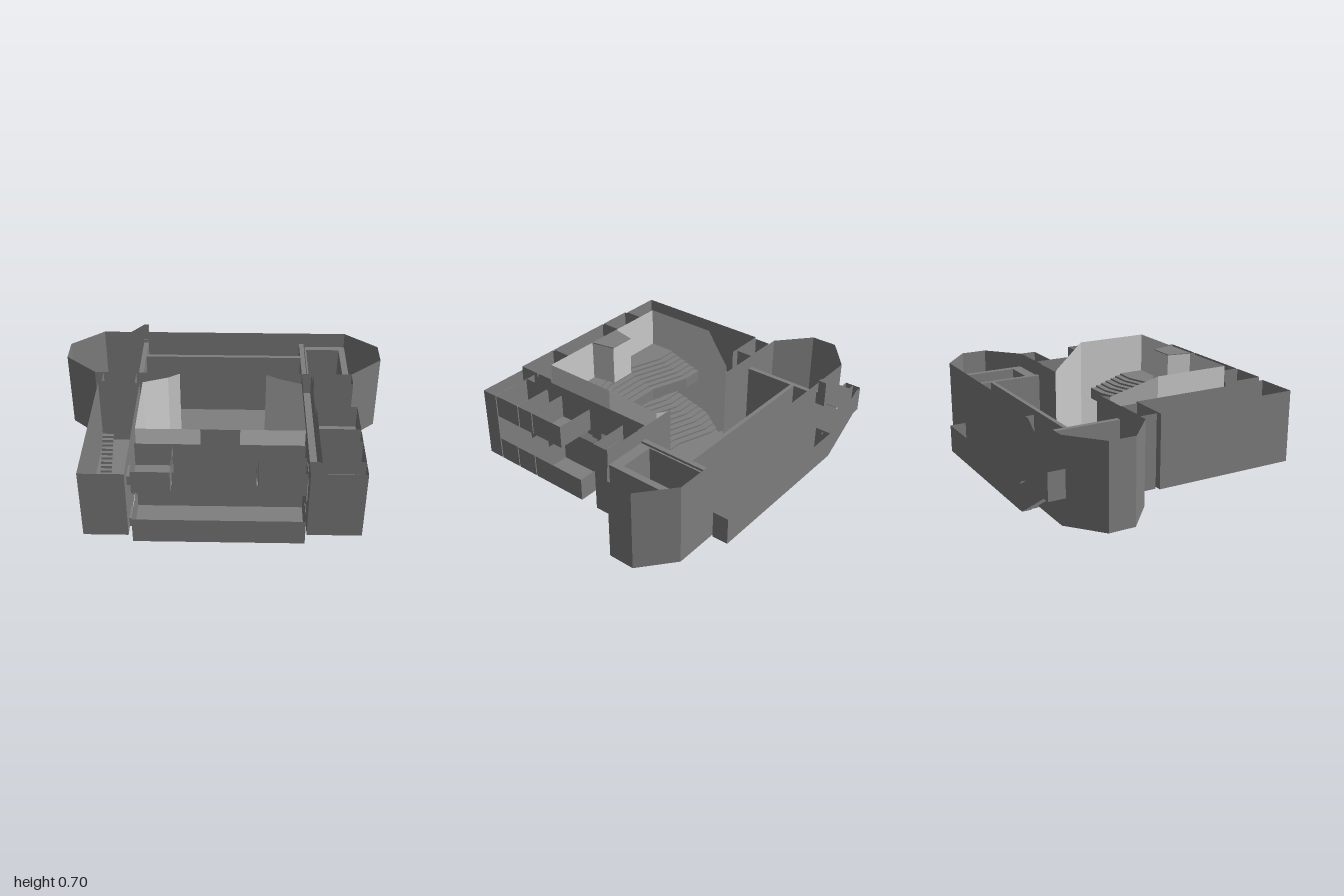
import * as THREE from 'three';

const makeMat = color => new THREE.MeshStandardMaterial({ color, side: THREE.DoubleSide, flatShading: true });
const dark = makeMat(0x7f7f7f);
const light = makeMat(0xcccccc);

export function createModel() {
  const root = new THREE.Group();
  const add = (name, geo, mat = dark) => {
    const m = new THREE.Mesh(geo, mat);
    m.name = name;
    root.add(m);
    return m;
  };
  // Closed block given by its limits
  const block = (name, x0, x1, y0, y1, z0, z1, mat) =>
    add(name, new THREE.BoxGeometry(x1 - x0, y1 - y0, z1 - z0)
      .translate((x0 + x1) / 2, (y0 + y1) / 2, (z0 + z1) / 2), mat);
  // Room with floor and four walls but no ceiling
  const room = (name, x0, x1, y0, y1, z0, z1) => {
    const m = block(name, x0, x1, y0, y1, z0, z1);
    const idx = Array.from(m.geometry.index.array);
    idx.splice(12, 6);
    m.geometry.setIndex(idx);
    m.geometry.clearGroups();
  };
  // Thin upright wall through points [x, z, bottom, top]
  const wall = (name, pts, mat) => {
    const pos = [], idx = [];
    pts.forEach(([x, z, b, t], i) => {
      pos.push(x, b, z, x, t, z);
      if (i) idx.push(2 * i - 2, 2 * i, 2 * i - 1, 2 * i - 1, 2 * i, 2 * i + 1);
    });
    const g = new THREE.BufferGeometry();
    g.setAttribute('position', new THREE.Float32BufferAttribute(pos, 3));
    g.setIndex(idx);
    const flat = g.toNonIndexed();
    flat.computeVertexNormals();
    add(name, flat, mat);
  };
  // Flat slab from a plan outline [x, z], with an optional hole
  const toPlan = pts => pts.map(([x, z]) => new THREE.Vector2(x, -z));
  const slab = (name, pts, y, h, hole) => {
    const s = new THREE.Shape(toPlan(pts));
    if (hole) s.holes.push(new THREE.Path(toPlan(hole)));
    add(name, new THREE.ExtrudeGeometry(s, { depth: h, bevelEnabled: false })
      .rotateX(-Math.PI / 2).translate(0, y, 0));
  };
  const rect = (x0, x1, z0, z1) => [[x0, z0], [x1, z0], [x1, z1], [x0, z1]];

  // Stage house: eight-sided shell, open above and towards the hall
  const plan = [[0.27, -0.225], [0.8, -0.225], [1, -0.4], [1, -0.56], [0.8, -0.725],
    [-0.8, -0.725], [-1, -0.56], [-1, -0.4], [-0.8, -0.225], [-0.27, -0.225]];
  wall('stageHouseWall', plan.map(([x, z]) => [x, z, 0.088, 0.587]));
  slab('stageHouseFloor', plan, 0.088, 0.004);
  block('stageRearPartition', -0.51, 0.5, 0.09, 0.51, -0.565, -0.54);
  block('stageRightPartition', -0.54, -0.51, 0.09, 0.51, -0.72, -0.23);
  block('stageLeftPartition', 0.5, 0.53, 0.09, 0.51, -0.72, -0.23);
  slab('sideStageLining', rect(0.535, 0.8, -0.7, -0.23), 0.09, 0.41, rect(0.545, 0.76, -0.66, -0.3));

  // Apron in front of the stage opening
  slab('apron', [[-0.27, -0.225], [-0.34, -0.17], [-0.34, -0.16], [-0.1, -0.08],
    [0.1, -0.08], [0.34, -0.16], [0.34, -0.17], [0.27, -0.225]], 0.03, 0.065);

  // Hall walls, flaring from the stage to the full width
  for (const s of [-1, 1]) {
    wall('hallSideWall', [[0.27, -0.225, 0.03, 0.58], [0.34, -0.18, 0, 0.58],
      [0.47, 0.06, 0.05, 0.7], [0.47, 0.06, 0.07, 0.7], [0.47, 0.525, 0.07, 0.7]]
      .map(([x, z, b, t]) => [s * x, z, b, t]), light);
    const a = s * 0.34, b = s * 0.49;
    block('stageSideRecess', Math.min(a, b), Math.max(a, b), 0.03, 0.15, -0.215, -0.18, light);
    wall('hallBackWallTop', [[s * 0.11, 0.525, 0.45, 0.7], [s * 0.47, 0.525, 0.45, 0.7]], light);
  }
  wall('hallBackWallBase', [[-0.47, 0.525, 0.15, 0.37], [0.47, 0.525, 0.15, 0.37]], light);

  // Seating rows bent around the stage, widening with the hall
  const bend = x => -0.08 * THREE.MathUtils.clamp((Math.abs(x) - 0.1) / 0.24, 0, 1);
  const halfWidth = z => Math.min(0.472, 0.34 + (z + 0.1) * 0.54);
  const curve = z => {
    const w = halfWidth(z);
    const knee = Math.min(0.34, w - 0.005);
    return [-w, -knee, -0.1, 0.1, knee, w].map(x => [x, z + bend(x)]);
  };
  const rows = (name, count, z0, pitch, y0, rise, h) => {
    for (let i = 0; i < count; i++) {
      const z = z0 + i * pitch;
      const back = i === count - 1 ? [[-0.47, 0.528], [0.47, 0.528]] : curve(z + pitch);
      slab(name, [...curve(z), ...back.reverse()], y0 + i * rise, h);
    }
  };
  rows('stallsRow', 13, -0.08, 0.042, 0.02, 0.0112, 0.0125);
  rows('balconyRow', 7, 0.215, 0.037, 0.308, 0.0115, 0.073);

  // Control booth at the back of the balcony
  const booth = [[-0.11, 0.526], [-0.08, 0.38], [0.08, 0.38], [0.11, 0.526]];
  wall('controlBoothWall', booth.map(([x, z]) => [x, z, 0.45, 0.695]), light);
  wall('controlBoothBack', [booth[0], booth[3]].map(([x, z]) => [x, z, 0.45, 0.7]));
  slab('controlBoothRoof', booth, 0.695, 0.005);

  // Front foyers on two levels
  room('lowerFoyer', -0.48, 0.475, 0.15, 0.31, 0.53, 0.835);
  room('upperFoyerEnd', -0.48, -0.265, 0.45, 0.6, 0.53, 0.78);
  room('upperFoyerPassage', -0.265, 0.475, 0.45, 0.6, 0.53, 0.64);
  room('upperFoyerRoom', -0.255, 0.2, 0.45, 0.6, 0.65, 0.78);
  room('upperFoyerRoom', 0.21, 0.475, 0.45, 0.6, 0.65, 0.78);

  // Left wing: corridor and a row of rooms on each level
  for (const y of [0.15, 0.45]) {
    room('leftCorridor', 0.49, 0.55, y, y + 0.14, -0.22, 0.66);
    const cuts = y < 0.3 ? [-0.01, 0.365, 0.51, 0.66] : [0.13, 0.36, 0.475, 0.66];
    for (let i = 0; i < 3; i++) {
      room('leftRoom', 0.56, 0.8, y, y + 0.14, cuts[i] + 0.004, cuts[i + 1] - 0.004);
      block('roomDoorway', 0.55, 0.56, y, y + 0.06, cuts[i] + 0.08, cuts[i] + 0.11);
    }
    block('foyerDoorway', 0.475, 0.49, y, y + 0.06, 0.56, 0.64);
    block('foyerDoorway', -0.51, -0.48, y, y + 0.06, 0.61, 0.71);
  }

  // Stair towers
  const towers = [[0.49, 0.8, 0.665, 0.765], [0.56, 0.8, -0.22, -0.12], [-0.745, -0.54, -0.22, -0.12]];
  for (const [x0, x1, z0, z1] of towers) {
    room('stairTower', x0, x1, 0.15, 0.587, z0, z1);
    const zm = (z0 + z1) / 2;
    block('stairTowerSpine', x0 + 0.1, x1 - 0.05, 0.15, 0.55, zm - 0.002, zm + 0.002);
  }

  // Right wing: tall hall with the grand stair
  room('rightHall', -0.765, -0.51, 0.15, 0.587, -0.105, 0.785);
  for (let i = 0; i < 18; i++) {
    const z = 0.6 - i * 0.021, y = 0.15 + 0.016 * i;
    block('grandStairStep', -0.705, -0.64, y, y + 0.016, z - 0.021, z);
  }

  // Rear annex and its two outside stair flights
  room('rearAnnex', -0.535, 0.53, 0.09, 0.26, -0.835, -0.735);
  block('annexDoorway', 0.375, 0.405, 0.09, 0.15, -0.735, -0.725);
  block('landingDoorway', -0.54, -0.51, 0.45, 0.53, -0.735, -0.715);
  const flight = (z0, z1, yEnd, yLanding) => {
    const floorAt = x => THREE.MathUtils.lerp(yLanding, yEnd, THREE.MathUtils.clamp((x + 0.82) / 0.28, 0, 1));
    const xs = [-0.87, -0.82, -0.54, -0.51];
    for (const z of [z0, z1]) wall('flightParapet', xs.map(x => [x, z, floorAt(x), floorAt(x) + 0.16]));
    for (const x of [-0.87, -0.51]) {
      wall('flightEnd', [z0, z1].map(z => [x, z, floorAt(x), floorAt(x) + 0.16]));
    }
    for (let i = 0; i < 28; i++) {
      const x = -0.82 + i * 0.01, y = floorAt(x + 0.005);
      block('flightStep', x, x + 0.01, y, y + 0.008, z0, z1);
    }
    block('flightLanding', -0.87, -0.82, yLanding, yLanding + 0.008, z0, z1);
    block('flightLanding', -0.54, -0.51, yEnd, yEnd + 0.008, z0, z1);
  };
  flight(-0.835, -0.785, 0.09, 0.27);
  flight(-0.785, -0.735, 0.45, 0.27);

  return root;
}
